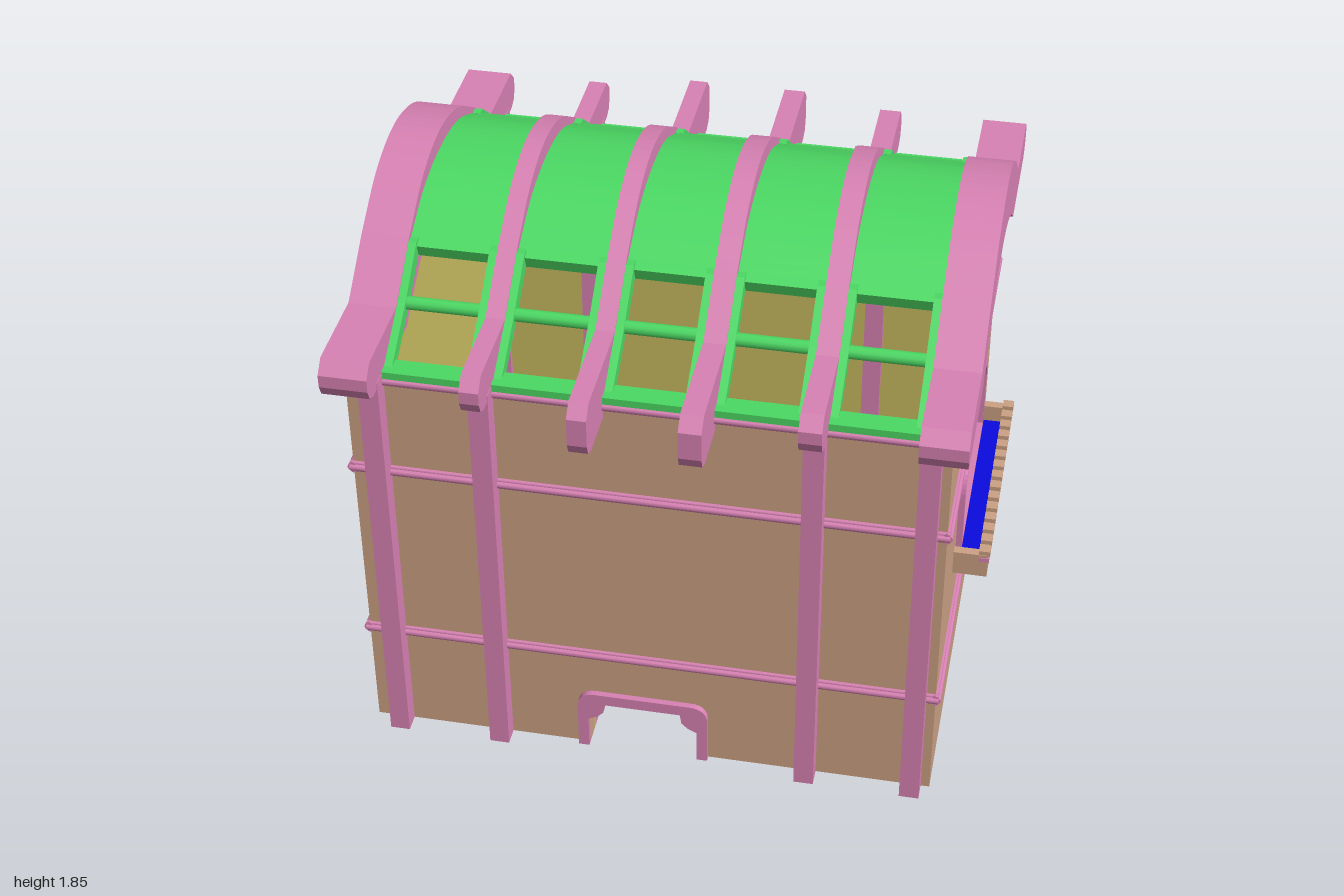
import * as THREE from 'three';

const mat = (color) => new THREE.MeshStandardMaterial({ color });
const PINK = mat(0xd982b4), TAN = mat(0xcca184), GREEN = mat(0x4cda64), YELLOW = mat(0xc8bc60), BLUE = mat(0x0a0ae0);
const X0 = -0.97, X1 = 0.88, ZW = 0.75, TOP = 1.43, XC = (X0 + X1) / 2;
const BAYS = [[-0.85, -0.57], [-0.51, -0.23], [-0.17, 0.10], [0.17, 0.44], [0.51, 0.79]];

export function createModel() {
  const model = new THREE.Group();
  const add = (name, geo, material, parent = model) => {
    const m = new THREE.Mesh(geo, material);
    m.name = name;
    parent.add(m);
    return m;
  };
  const box = (name, material, x0, x1, y0, y1, z0, z1, parent) => {
    const m = add(name, new THREE.BoxGeometry(x1 - x0, y1 - y0, z1 - z0), material, parent);
    m.position.set((x0 + x1) / 2, (y0 + y1) / 2, (z0 + z1) / 2);
    return m;
  };
  const group = (name) => {
    const g = new THREE.Group();
    g.name = name;
    model.add(g);
    return g;
  };
  const extrude = (shape, depth) => new THREE.ExtrudeGeometry(shape, { depth, bevelEnabled: false, curveSegments: 10 });
  // Shape drawn in (z, y), extruded from x0 to x1
  const extrudeX = (name, material, shape, x0, x1, parent) => {
    const m = add(name, extrude(shape, x1 - x0).rotateY(Math.PI / 2), material, parent);
    m.position.x = x0;
    return m;
  };
  const polygon = (pts) => new THREE.Shape(pts.map(([a, b]) => new THREE.Vector2(a, b)));
  // Points of a smooth curve that is symmetric about the ridge
  const archPoints = (half, n = 32) => {
    const full = [...half, ...half.slice(0, -1).reverse().map(([z, y]) => [-z, y])];
    return new THREE.CatmullRomCurve3(full.map(([z, y]) => new THREE.Vector3(z, y, 0))).getPoints(n).map((p) => [p.x, p.y]);
  };
  // Upright opening with rounded upper corners
  const opening = (Type, a, b, y0, y1, r) => {
    const s = new Type();
    s.moveTo(a, y0);
    s.lineTo(b, y0);
    s.lineTo(b, y1 - r);
    s.quadraticCurveTo(b, y1, b - r, y1);
    s.lineTo(a + r, y1);
    s.quadraticCurveTo(a, y1, a, y1 - r);
    s.closePath();
    return s;
  };

  // Walls: outer shell plus inner lining
  const walls = group('walls');
  const doorway = opening(THREE.Path, -0.245, 0.115, 0.01, 0.2, 0.05);
  const facade = (hasDoor, inset) => {
    const a = X0 + inset, b = X1 - inset;
    if (!hasDoor) return polygon([[a, 0.01], [b, 0.01], [b, TOP], [a, TOP]]);
    const door = doorway.getPoints(8).map((p) => [p.x, p.y]).slice(1, -1);
    return polygon([[a, 0.01], [-0.245, 0.01], ...door.reverse(), [b, 0.01], [b, TOP], [a, TOP]]);
  };
  add('frontWall', extrude(facade(true, 0), 0.06), TAN, walls).position.z = ZW - 0.06;
  add('frontLining', extrude(facade(true, 0.06), 0.02), YELLOW, walls).position.z = ZW - 0.08;
  add('backWall', extrude(facade(false, 0), 0.06), TAN, walls).position.z = -ZW;
  add('backLining', extrude(facade(false, 0.06), 0.02), YELLOW, walls).position.z = -ZW + 0.06;
  const gable = archPoints([[0.5, TOP], [0.38, 1.52], [0.2, 1.62], [0, 1.66]]);
  const endWall = (w, hasWindow) => {
    const s = polygon([[-w, 0.01], [w, 0.01], [w, TOP], ...gable, [-w, TOP]]);
    if (hasWindow) s.holes.push(opening(THREE.Path, -0.32, 0.32, 0.68, 0.975, 0.1));
    return s;
  };
  extrudeX('leftWall', TAN, endWall(ZW - 0.06, true), X1 - 0.06, X1, walls);
  extrudeX('leftLining', YELLOW, endWall(ZW - 0.08, true), X1 - 0.08, X1 - 0.06, walls);
  extrudeX('rightWall', TAN, endWall(ZW - 0.06, false), X0, X0 + 0.06, walls);
  extrudeX('rightLining', YELLOW, endWall(ZW - 0.08, false), X0 + 0.06, X0 + 0.08, walls);

  // Posts on front and back
  const posts = group('posts');
  for (const x of [-0.88, -0.54, 0.475, 0.82])
    for (const s of [-1, 1])
      box('post', PINK, x - 0.032, x + 0.032, 0.01, 1.45, s * 0.73 - 0.08, s * 0.73 + 0.08, posts);

  // Horizontal mouldings: a wide bead between two thin ones
  const mouldings = group('mouldings');
  for (const y of [0.402, 1.07, 1.42])
    for (const [dy, r, out] of [[0, 0.012, 0.006], [0.012, 0.008, 0], [-0.012, 0.008, 0]])
      for (const s of [-1, 1]) {
        const alongX = add('moulding', new THREE.CylinderGeometry(r, r, X1 - X0 + 0.02, 8).rotateZ(Math.PI / 2), PINK, mouldings);
        alongX.position.set(XC, y + dy, s * (ZW + out));
        const alongZ = add('moulding', new THREE.CylinderGeometry(r, r, 2 * ZW + 0.02, 8).rotateX(Math.PI / 2), PINK, mouldings);
        alongZ.position.set(XC + s * ((X1 - X0) / 2 + out), y + dy, 0);
      }

  // Roof beams: arched, with flat chamfered ends over the eaves
  const beams = group('roofBeams');
  const beamShape = (tip, bottom, crown) => {
    const crest = archPoints([[0.39, 1.7], [0.2, 1.81], [0, 1.85]], 24);
    const under = archPoints([[0.48, TOP], [0.36, crown - 0.12], [0.2, crown - 0.04], [0, crown]], 24).reverse();
    const end = [[tip - 0.05, bottom], [tip - 0.015, bottom + 0.015], [tip, bottom + 0.05], [tip, 1.52], [tip - 0.04, 1.56], [0.57, 1.56]];
    const inner = [[0.69, TOP], [0.69, bottom]];
    const flip = (pts) => pts.map(([z, y]) => [-z, y]).reverse();
    return polygon([...inner, ...end, ...crest, ...flip(end), ...flip(inner), ...under]);
  };
  for (const [a, b] of [[-1, -0.85], [0.79, 0.935]]) extrudeX('endBeam', PINK, beamShape(0.895, 1.428, 1.635), a, b, beams);
  for (const [a, b] of [[-0.57, -0.51], [0.44, 0.51]]) extrudeX('rib', PINK, beamShape(0.895, 1.428, 1.67), a, b, beams);
  for (const [a, b] of [[-0.23, -0.17], [0.1, 0.17]]) extrudeX('longRib', PINK, beamShape(0.965, 1.376, 1.67), a, b, beams);

  // Roof bays: curved panel with a framed skylight on each slope
  const roof = group('roof');
  const skin = archPoints([[0.4, 1.675], [0.2, 1.765], [0, 1.79]], 24);
  const panel = polygon([...skin, ...skin.map(([z, y]) => [z * 0.97, y - 0.04]).reverse()]);
  for (const [a, b] of BAYS) {
    extrudeX('roofPanel', GREEN, panel, a, b, roof);
    for (const s of [-1, 1]) {
      const stile = polygon([[0.37, 1.69], [0.4, 1.69], [0.55, 1.57], [0.75, 1.44], [0.69, 1.43], [0.53, 1.53], [0.37, 1.65]].map(([z, y]) => [s * z, y]));
      extrudeX('skylightSide', GREEN, stile, a, a + 0.025, roof);
      extrudeX('skylightSide', GREEN, stile, b - 0.025, b, roof);
      const bar = add('skylightBar', new THREE.CylinderGeometry(0.022, 0.022, b - a, 10).rotateZ(Math.PI / 2), GREEN, roof);
      bar.position.set((a + b) / 2, 1.555, s * 0.53);
      box('skylightSill', GREEN, a, b, 1.425, 1.455, s * 0.725 - 0.035, s * 0.725 + 0.035, roof);
    }
  }

  // Door frame with small curved brackets in the upper corners
  const door = group('door');
  const arch = opening(THREE.Shape, -0.28, 0.15, 0.01, 0.24, 0.06).getPoints(8).map((p) => [p.x, p.y]).slice(1, -1);
  const frame = polygon([[-0.245, 0.01], [-0.28, 0.01], ...arch.reverse(), [0.15, 0.01], [0.115, 0.01],
    [0.115, 0.13], [0.085, 0.145], [0.065, 0.165], [0.06, 0.2], [-0.19, 0.2], [-0.195, 0.165], [-0.215, 0.145], [-0.245, 0.13]]);
  add('doorFrame', extrude(frame, 0.14), PINK, door).position.z = 0.63;

  // Window surround
  const surround = opening(THREE.Shape, -0.337, 0.337, 0.68, 0.992, 0.11);
  surround.holes.push(opening(THREE.Path, -0.32, 0.32, 0.69, 0.975, 0.1));
  extrudeX('windowFrame', PINK, surround, 0.79, 0.9);

  // Balcony: trough with a notched parapet
  const balcony = group('balcony');
  box('balconyBase', TAN, X1, 0.985, 0.63, 0.66, -0.4, 0.4, balcony);
  box('balconyFloor', BLUE, X1, 0.962, 0.655, 0.665, -0.37, 0.37, balcony);
  box('parapet', TAN, 0.962, 0.99, 0.635, 0.72, -0.405, 0.405, balcony);
  for (const s of [-1, 1]) box('parapetEnd', TAN, X1, 0.97, 0.635, 0.72, s * 0.39 - 0.015, s * 0.39 + 0.015, balcony);
  box('parapetTrim', PINK, 0.96, 0.994, 0.695, 0.71, -0.407, 0.407, balcony);
  for (let i = 0; i < 15; i++) {
    const z = -0.385 + i * 0.055;
    box('merlon', TAN, 0.96, 0.996, 0.715, 0.735, z - 0.018, z + 0.018, balcony);
  }

  // Raised floor with a rounded stairwell, and two ramps under it
  const floor = group('floor');
  const slab = new THREE.Shape();
  slab.moveTo(X0 + 0.08, -0.67);
  slab.lineTo(X1 - 0.08, -0.67);
  slab.lineTo(X1 - 0.08, 0.67);
  slab.lineTo(0.5, 0.67);
  slab.absarc(0.18, 0.67, 0.32, 0, Math.PI, true);
  slab.lineTo(X0 + 0.08, 0.67);
  slab.closePath();
  add('floorTop', extrude(slab, 0.01).rotateX(Math.PI / 2), BLUE, floor).position.y = 0.28;
  add('floorUnderside', extrude(slab, 0.01).rotateX(Math.PI / 2), PINK, floor).position.y = 0.27;
  for (const s of [-1, 1]) {
    const z = s * 0.52 - 0.15;
    const top = polygon([[0.31, 0], [0.31, 0.01], [-0.1, 0.275], [-0.1, 0.262], [0.25, 0.03]]);
    const under = polygon([[0.25, 0.03], [0.25, 0], [0.31, 0]]);
    add('ramp', extrude(top, 0.3), PINK, floor).position.z = z;
    add('rampFoot', extrude(under, 0.3), BLUE, floor).position.z = z;
  }
  return model;
}
